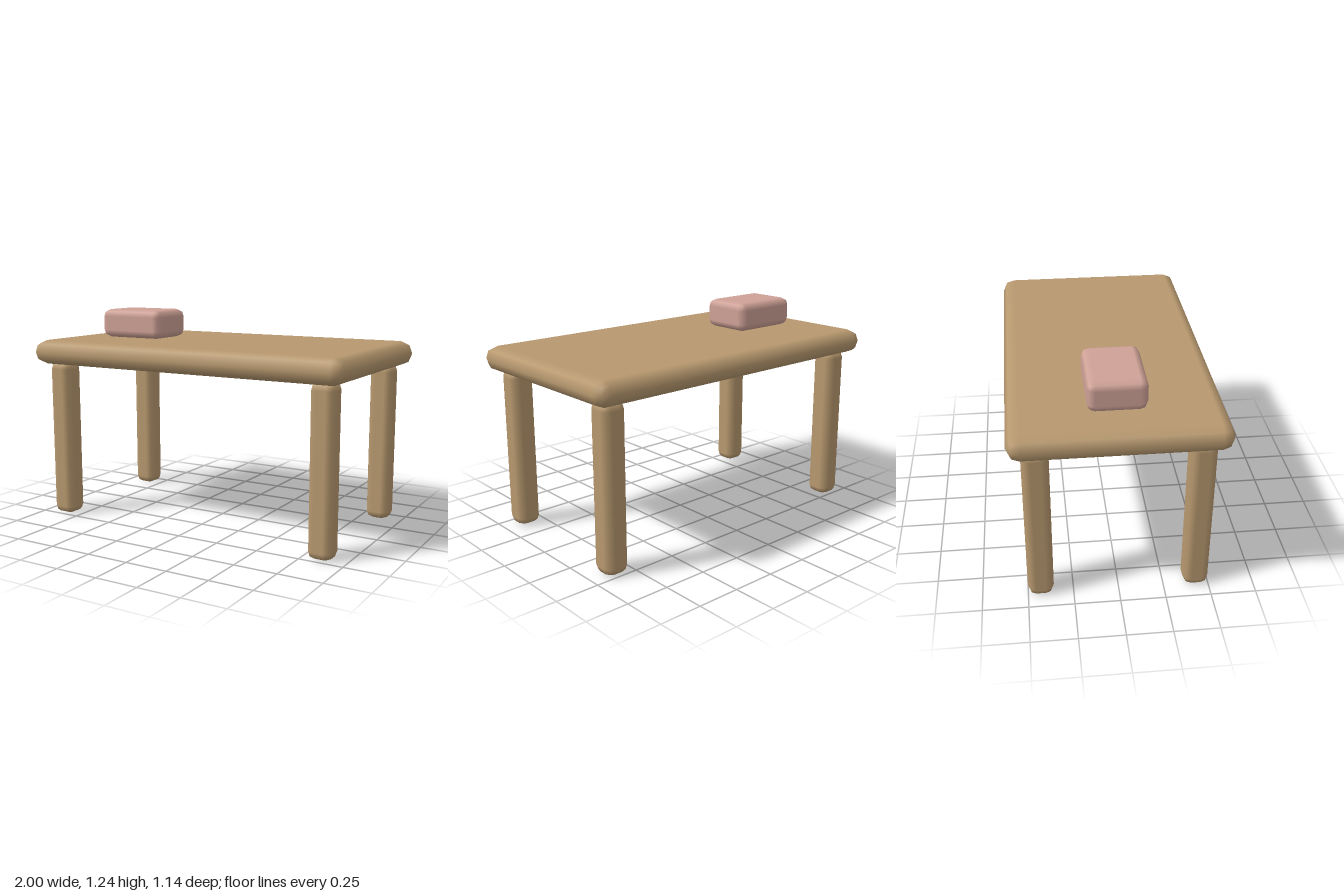
import * as THREE from 'three';
import { RoundedBoxGeometry } from 'three/addons/geometries/RoundedBoxGeometry.js';

export function createModel() {
  const model = new THREE.Group();
  model.name = 'table';

  const wood = new THREE.MeshStandardMaterial({ color: 0xb8996f });
  wood.name = 'wood brown';
  const pink = new THREE.MeshStandardMaterial({ color: 0xcfa297 });
  pink.name = 'dusty pink';

  // Box with softly bevelled edges, placed by the height of its underside
  function softBox(name, [w, h, d], radius, [x, bottom, z], material) {
    const mesh = new THREE.Mesh(new RoundedBoxGeometry(w, h, d, 1, radius), material);
    mesh.name = name;
    mesh.position.set(x, bottom + h / 2, z);
    model.add(mesh);
  }

  // Table top with fully rounded rim
  softBox('tableTop', [2, 0.142, 1.142], 0.07, [0, 0.93, 0], wood);

  // Four legs, their rounded tops sunk slightly into the table top
  for (const [sideName, sx] of [['Left', 1], ['Right', -1]]) {
    for (const [endName, sz] of [['front', 1], ['back', -1]]) {
      softBox(`${endName}${sideName}Leg`, [0.142, 0.943, 0.142], 0.045,
        [sx * 0.857, 0, sz * 0.429], wood);
    }
  }

  // Small block resting on the table
  softBox('block', [0.426, 0.171, 0.314], 0.043, [-0.573, 1.072, 0], pink);

  return model;
}
